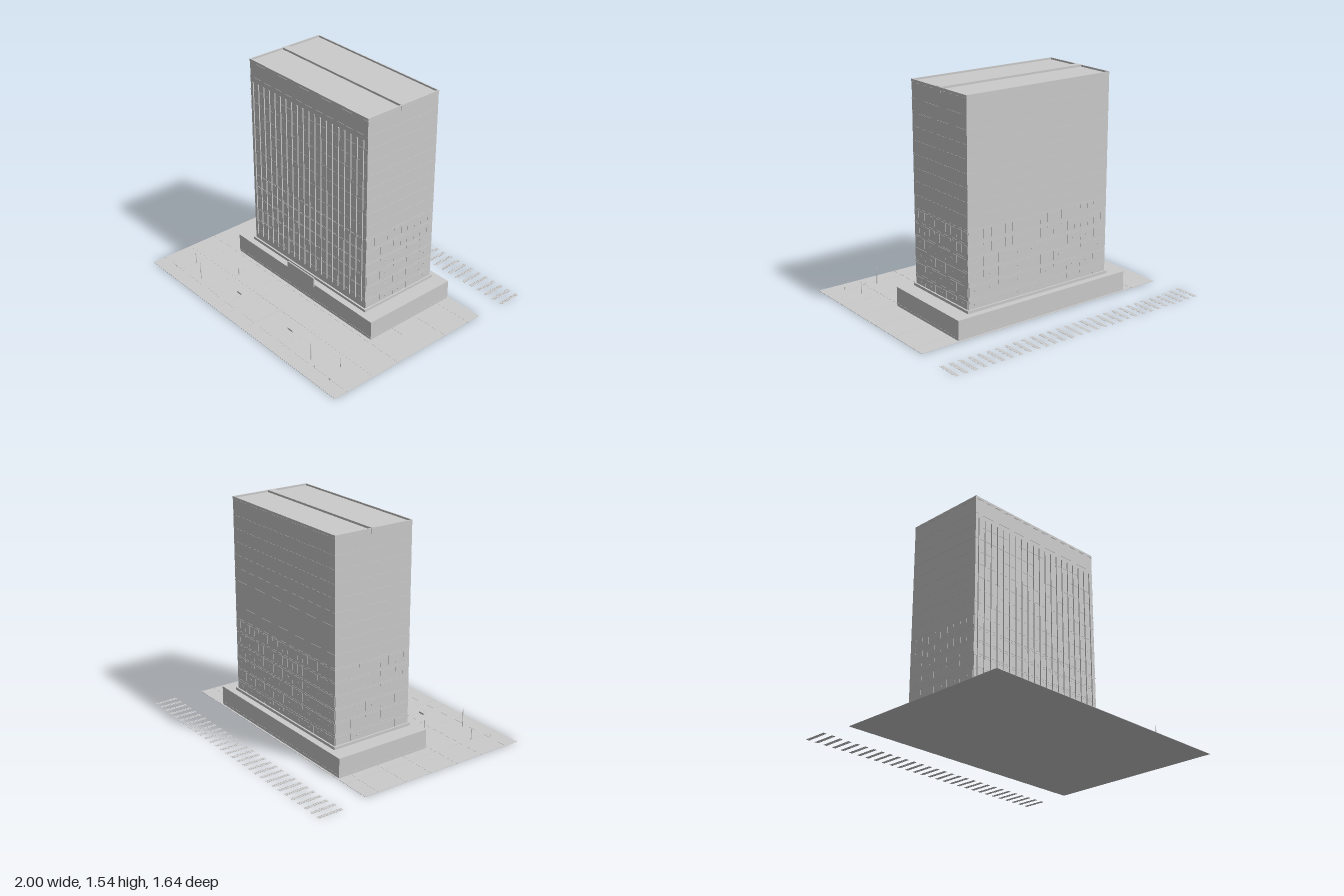
import * as THREE from 'three';

export function createModel() {
  const grey = new THREE.MeshStandardMaterial({ color: 0xcccccc });
  grey.name = 'light grey';

  const root = new THREE.Group();
  root.name = 'officeTower';
  const group = (name) => {
    const g = new THREE.Group();
    g.name = name;
    root.add(g);
    return g;
  };
  // Box given by its limits on each axis
  const box = (parent, name, x0, x1, y0, y1, z0, z1) => {
    const mesh = new THREE.Mesh(new THREE.BoxGeometry(x1 - x0, y1 - y0, z1 - z0), grey);
    mesh.position.set((x0 + x1) / 2, (y0 + y1) / 2, (z0 + z1) / 2);
    mesh.name = name;
    parent.add(mesh);
  };

  // Tower limits
  const X0 = -0.55, X1 = 0.587, Z0 = -0.38, Z1 = 0.211, TOP = 1.53;
  const CX = (X0 + X1) / 2, CZ = (Z0 + Z1) / 2;

  // Paved plaza with joints, kept clear of the podium
  const plaza = group('plaza');
  box(plaza, 'paving', -0.957, 0.988, 0, 0.002, -0.45, 0.82);
  for (const x of [-0.447, -0.232, -0.132, 0.067, 0.378, 0.682])
    box(plaza, 'pavingJoint', x - 0.004, x + 0.004, 0.001, 0.003, 0.27, 0.82);
  box(plaza, 'pavingJoint', -0.753, -0.745, 0.001, 0.003, -0.45, 0.82);
  for (const z of [-0.345, -0.13, 0.075, 0.29, 0.5, 0.718]) {
    const spans = z < 0.27 ? [[-0.957, -0.675], [0.707, 0.988]] : [[-0.957, 0.988]];
    for (const [a, b] of spans)
      box(plaza, 'pavingJoint', a, b, 0.001, 0.0028, z - 0.004, z + 0.004);
  }

  // Street furniture: lamp posts, short posts and benches
  const furniture = group('streetFurniture');
  const posts = [
    [-0.57, 0.685, 0.13], [0.605, 0.685, 0.13], [-0.755, 0.595, 0.078],
    [0.785, 0.595, 0.078], [-0.435, 0.46, 0.06],
    [-0.8, 0.73, 0.02], [0.835, 0.73, 0.02], [0.68, 0.72, 0.02],
  ];
  for (const [x, z, h] of posts) {
    const post = new THREE.Mesh(new THREE.CylinderGeometry(0.002, 0.003, h, 6), grey);
    post.position.set(x, h / 2, z);
    post.name = 'post';
    furniture.add(post);
  }
  for (const x of [-0.255, 0.29])
    box(furniture, 'bench', x - 0.023, x + 0.023, 0.001, 0.014, 0.585, 0.597);

  // Crossing stripes behind the plaza, each laid in short blocks
  const crossing = group('crossing');
  for (let i = 0; i < 30; i++) {
    const x = -0.987 + (i * 1.974) / 29;
    const back = -0.825, blocks = 10;
    const pitch = ((i < 2 ? -0.646 : -0.656) - back) / blocks;
    for (let k = 0; k < blocks; k++)
      box(crossing, 'stripeBlock', x - 0.013, x + 0.013, 0, 0.001,
        back + k * pitch, back + (k + 1) * pitch - 0.002);
  }

  // Podium, base course and entrance panel
  const podium = group('podium');
  box(podium, 'podiumBlock', -0.675, 0.706, 0.001, 0.138, -0.438, 0.267);
  box(podium, 'plinthLine', -0.676, 0.707, 0.016, 0.021, -0.439, 0.268);
  box(podium, 'baseCourse', X0 - 0.012, X1 + 0.012, 0.137, 0.157, Z0 - 0.012, Z1 + 0.012);
  box(podium, 'entrancePanel', -0.118, 0.155, 0.128, 0.197, 0.27, 0.279);

  // Tower shaft with floor lines running right round it
  const tower = group('tower');
  box(tower, 'shaft', X0, X1, 0.15, TOP - 0.008, Z0, Z1);
  const e = 0.0015;
  for (let i = 0; i < 14; i++) {
    const y = 0.226 + i * 0.091;
    box(tower, 'floorLine', X0 - e, X1 + e, y - 0.0025, y + 0.0025, Z0 - e, Z1 + e);
  }
  box(tower, 'crownLine', X0 - 0.001, X1 + 0.001, 1.512, 1.515, Z0 - 0.001, Z1 + 0.001);

  // Roof: low rim and a raised gutter across the middle
  const roof = group('roof');
  const rim = 0.006;
  for (const [a, b, c, d] of [
    [X0 - e, X1 + e, Z1 - rim, Z1 + e], [X0 - e, X1 + e, Z0 - e, Z0 + rim],
    [X0 - e, X0 + rim, Z0 + rim, Z1 - rim], [X1 - rim, X1 + e, Z0 + rim, Z1 - rim],
  ]) box(roof, 'parapet', a, b, TOP - 0.012, TOP + 0.004, c, d);
  box(roof, 'roofGutter', X0, X1, TOP - 0.01, TOP + 0.006, -0.108, -0.06);
  for (const [a, b] of [[X0 - 0.003, X0], [X1, X1 + 0.003]])
    box(roof, 'gutterOutlet', a, b, 1.497, TOP, -0.108, -0.06);

  // Vertical fins on the front
  const fins = group('frontFins');
  for (let i = 0; i < 20; i++) {
    const x = -0.522 + i * 0.0565;
    box(fins, 'fin', x - 0.004, x + 0.004, 0.2, 1.375, Z1 - 0.002, Z1 + 0.008);
  }

  // A face group whose local z points out of the wall
  const wall = (name, x, z, turn) => {
    const g = group(name);
    g.position.set(x, 0, z);
    g.rotation.y = turn;
    return g;
  };
  const windowPane = (g, u, y, w, h) =>
    box(g, 'windowPane', u - w / 2, u + w / 2, y - h / 2, y + h / 2, -0.001, 0.002);

  // Lower six floors: four rows of wide panels with vents, two rows of paired windows
  const lowerFloors = (g, width, cols) => {
    const pitch = width / cols;
    for (let c = 0; c < cols; c++) {
      const u = -width / 2 + (c + 0.5) * pitch;
      for (let r = 0; r < 6; r++) {
        const y = 0.185 + r * 0.091;
        if (r < 4) {
          windowPane(g, u, y, pitch - 0.012, r ? 0.064 : 0.054);
          box(g, 'vent', u - 0.01, u + 0.01, y - 0.004, y + 0.004, 0, 0.0035);
        } else {
          for (const s of [-1, 1]) windowPane(g, u + s * pitch * 0.27, y, 0.045, 0.062);
        }
      }
    }
  };
  lowerFloors(wall('leftWindows', X1, CZ, Math.PI / 2), Z1 - Z0, 5);
  lowerFloors(wall('rightWindows', X0, CZ, -Math.PI / 2), Z1 - Z0, 5);
  lowerFloors(wall('backWindows', CX, Z0, Math.PI), X1 - X0, 10);

  // Front panes sit between the fins on the lower floors
  const front = wall('frontWindows', 0, Z1, 0);
  for (let i = 0; i < 19; i++)
    for (let r = 1; r < 6; r++)
      windowPane(front, -0.522 + (i + 0.5) * 0.0565, 0.185 + r * 0.091, 0.044, 0.074);

  return root;
}
